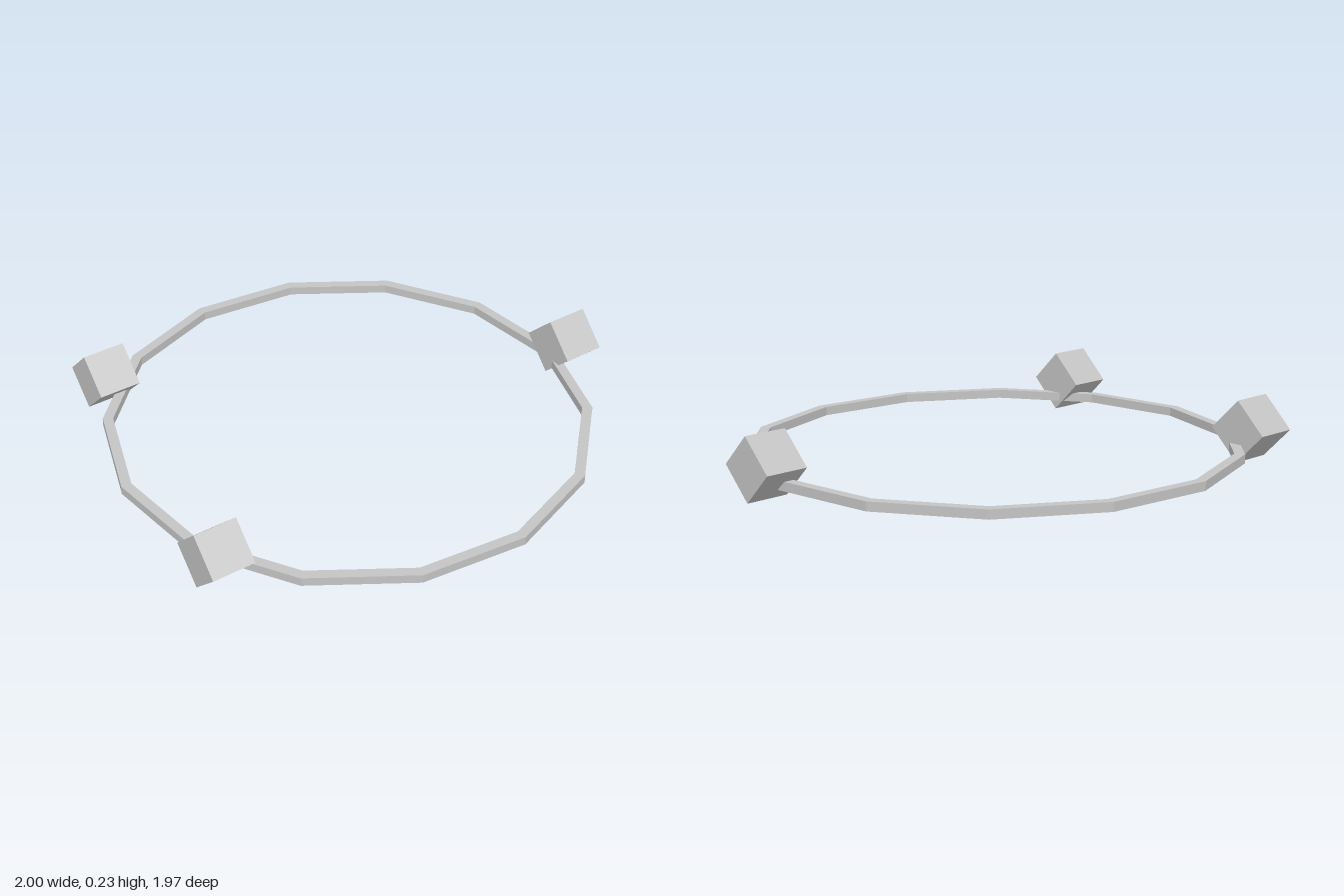
import * as THREE from 'three';

export function createModel() {
  const model = new THREE.Group();
  const grey = new THREE.MeshStandardMaterial({ color: 0xc4c4c4 });
  grey.name = 'light grey';

  // Ring of fourteen straight bars, slightly overlapping at the joints
  const ring = new THREE.Group();
  ring.name = 'ring';
  ring.position.set(0.09, 0.053, -0.06);
  const sides = 14, apothem = 0.884;
  const barShape = new THREE.BoxGeometry(0.415, 0.034, 0.038);
  for (let i = 0; i < sides; i++) {
    const angle = (i + 0.5) * 2 * Math.PI / sides;
    const bar = new THREE.Mesh(barShape, grey);
    bar.name = 'ringBar';
    bar.position.set(apothem * Math.sin(angle), 0, apothem * Math.cos(angle));
    bar.rotation.y = angle;
    ring.add(bar);
  }
  model.add(ring);

  // Three cubes balanced on an edge, all turned the same way
  const size = 0.166;
  const cubeShape = new THREE.BoxGeometry(size, size, size);
  for (const [x, z] of [[-0.858, -0.06], [0.855, -0.622], [-0.205, 0.844]]) {
    const cube = new THREE.Mesh(cubeShape, grey);
    cube.name = 'cube';
    cube.position.set(x, size / Math.SQRT2, z);
    cube.rotation.set(0, -Math.PI / 4, Math.PI / 4, 'YXZ');
    model.add(cube);
  }
  return model;
}
